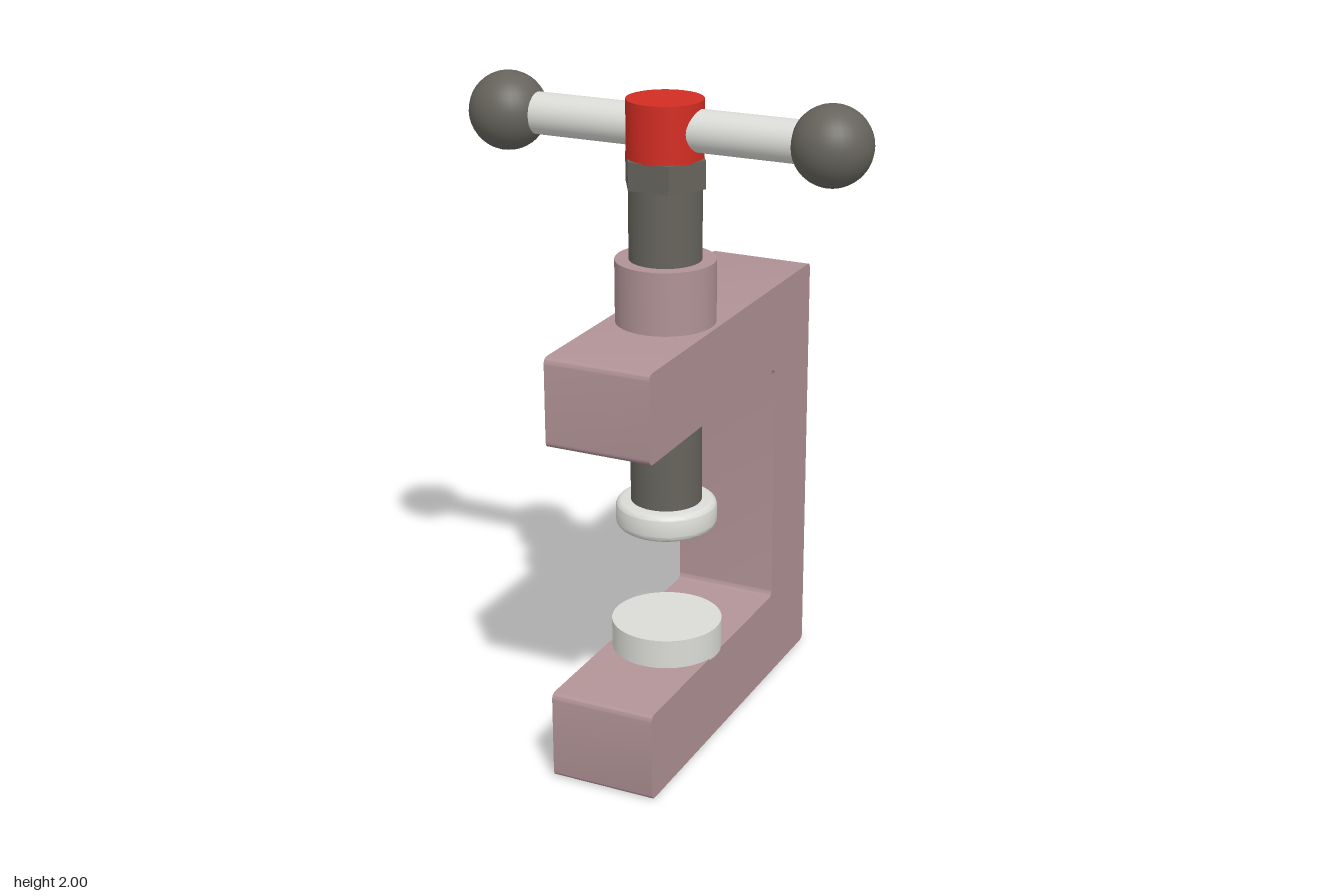
import * as THREE from 'three';
import { toCreasedNormals } from 'three/addons/utils/BufferGeometryUtils.js';

const SCREW_Z = 0.134;

const material = (name, color) => {
  const m = new THREE.MeshStandardMaterial({ color });
  m.name = name;
  return m;
};

// Closed outline whose every corner, inner or outer, is rounded by r
function roundedOutline(points, r) {
  const shape = new THREE.Shape();
  const n = points.length;
  points.forEach((p, i) => {
    const prev = points[(i + n - 1) % n], next = points[(i + 1) % n];
    const a = p.clone().add(prev.clone().sub(p).setLength(r));
    const b = p.clone().add(next.clone().sub(p).setLength(r));
    if (i === 0) shape.moveTo(a.x, a.y);
    else shape.lineTo(a.x, a.y);
    shape.quadraticCurveTo(p.x, p.y, b.x, b.y);
  });
  shape.closePath();
  return shape;
}

export function createModel() {
  const model = new THREE.Group();
  model.name = 'screwClamp';
  const rose = material('dustyRosePaint', 0xb09295);
  const dark = material('darkSteel', 0x65635b);
  const silver = material('paleSteel', 0xdadad6);
  const red = material('redPaint', 0xd22d23);

  const add = (name, geometry, mat, x, y, z) => {
    const mesh = new THREE.Mesh(geometry, mat);
    mesh.name = name;
    mesh.position.set(x, y, z);
    model.add(mesh);
    return mesh;
  };
  // Upright cylinder on the screw axis, from y0 to y1
  const post = (name, r, y0, y1, mat, sides = 48) =>
    add(name, new THREE.CylinderGeometry(r, r, y1 - y0, sides), mat, 0, (y0 + y1) / 2, SCREW_Z);

  // C-shaped frame: side outline (z, y) extruded across the width
  const outline = [
    [0.57, 0], [0.57, 0.275], [-0.3, 0.275], [-0.3, 1.05],
    [0.57, 1.05], [0.57, 1.317], [-0.57, 1.317], [-0.57, 0],
  ].map(([z, y]) => new THREE.Vector2(z, y));
  const width = 0.324;
  const frame = new THREE.ExtrudeGeometry(roundedOutline(outline, 0.02),
    { depth: width, bevelEnabled: false, curveSegments: 6 });
  frame.translate(0, 0, -width / 2).rotateY(-Math.PI / 2);
  add('frame', toCreasedNormals(frame, 0.6), rose, 0, 0, 0);
  post('collar', 0.147, 1.31, 1.504, rose);

  // Screw with its hexagonal nut, corners pointing sideways
  post('screw', 0.106, 0.74, 1.73, dark);
  const nut = new THREE.CylinderGeometry(0.126, 0.126, 0.082, 6).rotateY(Math.PI / 6);
  add('hexNut', toCreasedNormals(nut, 0.5), dark, 0, 1.762, SCREW_Z);

  // Moving pad with rounded rims
  const profile = [new THREE.Vector2(0, 0)];
  const padR = 0.151, padH = 0.085, rim = 0.022;
  for (const [cy, start] of [[rim, -Math.PI / 2], [padH - rim, 0]]) {
    for (let i = 0; i <= 6; i++) {
      const a = start + (i / 6) * Math.PI / 2;
      profile.push(new THREE.Vector2(padR - rim + rim * Math.cos(a), cy + rim * Math.sin(a)));
    }
  }
  profile.push(new THREE.Vector2(0, padH));
  add('movingPad', toCreasedNormals(new THREE.LatheGeometry(profile, 48), 0.6), silver, 0, 0.675, SCREW_Z);
  post('fixedPad', 0.167, 0.27, 0.365, silver);

  // Handle: red head, cross bar and a ball on each end
  post('handleHead', 0.111, 1.8, 1.968, red);
  const bar = new THREE.CylinderGeometry(0.061, 0.061, 0.92, 32).rotateZ(Math.PI / 2);
  add('handleBar', bar, silver, 0, 1.886, SCREW_Z);
  for (const [side, x] of [['left', 0.502], ['right', -0.502]]) {
    add(side + 'HandleBall', new THREE.SphereGeometry(0.115, 32, 20), dark, x, 1.885, SCREW_Z);
  }
  return model;
}
